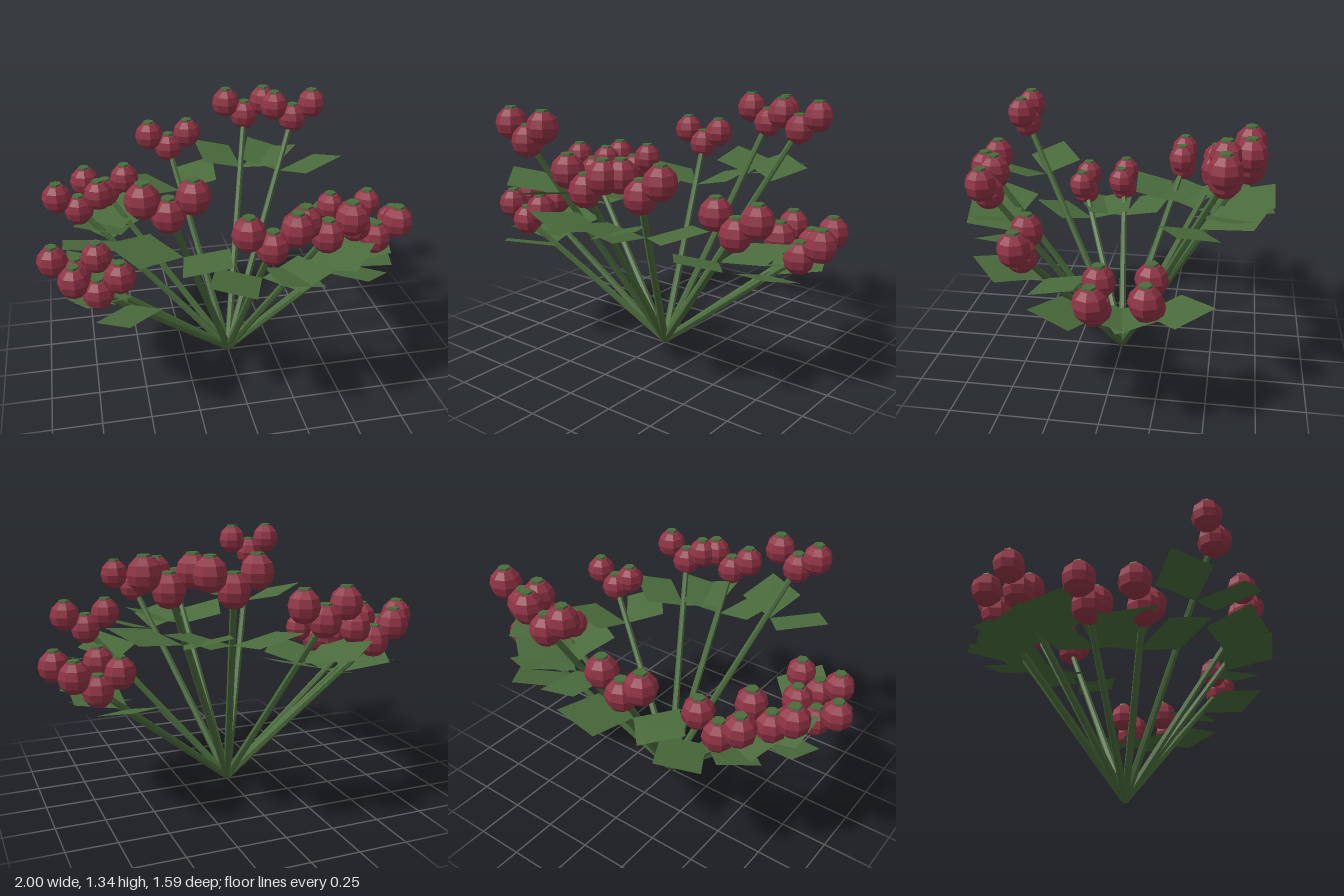
import * as THREE from 'three';

const green = new THREE.MeshStandardMaterial({ color: 0x4a6b3c, flatShading: true });
const leafGreen = new THREE.MeshStandardMaterial({ color: 0x4a6b3c, flatShading: true, side: THREE.DoubleSide });
const red = new THREE.MeshStandardMaterial({ color: 0x8f3344, flatShading: true });

// Stem ends: x, height, z
const stemEnds = [
  [-0.22, 0.995, -0.66], [0.23, 1.165, -0.65], [0.49, 1.165, -0.54], [0.755, 0.65, -0.235],
  [0.81, 0.65, 0], [0.68, 0.825, 0.36], [0.34, 0.995, 0.61], [0.065, 0.995, 0.67],
  [-0.385, 1.165, 0.6], [-0.71, 0.65, 0.335], [-0.81, 0.65, 0.11], [-0.765, 0.825, -0.265],
  [-0.61, 0.825, -0.465],
];

function add(parent, name, geometry, material) {
  const mesh = new THREE.Mesh(geometry, material);
  mesh.name = name;
  parent.add(mesh);
  return mesh;
}

// Tilted four-cornered leaf; x runs sideways from the stem, z outwards
function leafGeometry(side) {
  const corners = [[0, 0.07, 0.075], [0.105, 0.112, 0.315], [0.31, 0.165, 0.245], [0.205, 0.12, 0.005]];
  const geometry = new THREE.BufferGeometry();
  geometry.setAttribute('position',
    new THREE.Float32BufferAttribute(corners.flatMap(([x, y, z]) => [x * side, y, z]), 3));
  geometry.setIndex(side > 0 ? [0, 1, 2, 0, 2, 3] : [0, 2, 1, 0, 3, 2]);
  geometry.computeVertexNormals();
  return geometry;
}

export function createModel() {
  const model = new THREE.Group();
  model.name = 'berryPlant';

  const berryGeo = new THREE.SphereGeometry(0.08, 8, 6).scale(1, 1.04, 1);
  const crownGeo = new THREE.CylinderGeometry(0.03, 0.034, 0.02, 6);
  const leaves = [leafGeometry(1), leafGeometry(-1)];
  const up = new THREE.Vector3(0, 1, 0);

  for (const end of stemEnds) {
    const tip = new THREE.Vector3(...end);
    const branch = new THREE.Group();
    branch.name = 'branch';
    model.add(branch);

    // Stem from the shared root to the berry cluster
    const length = tip.length();
    const stem = add(branch, 'stem', new THREE.CylinderGeometry(0.016, 0.021, length, 6), green);
    stem.position.copy(tip).multiplyScalar(0.5);
    stem.quaternion.setFromUnitVectors(up, tip.clone().normalize());

    // Pair of leaves, one on each side of the stem
    const leafPair = new THREE.Group();
    leafPair.name = 'leafPair';
    leafPair.position.copy(tip).multiplyScalar(0.7);
    leafPair.rotation.y = Math.atan2(tip.x, tip.z);
    leaves.forEach((geo) => add(leafPair, 'leaf', geo, leafGreen));
    branch.add(leafPair);

    // Three berries in a row, the middle one lower, each with a crown
    for (const i of [-1, 0, 1]) {
      const berry = add(branch, 'berry', berryGeo, red);
      berry.position.set(tip.x + i * 0.11, tip.y + Math.abs(i) * 0.078, tip.z);
      add(berry, 'crown', crownGeo, green).position.y = 0.075;
    }
  }
  return model;
}
